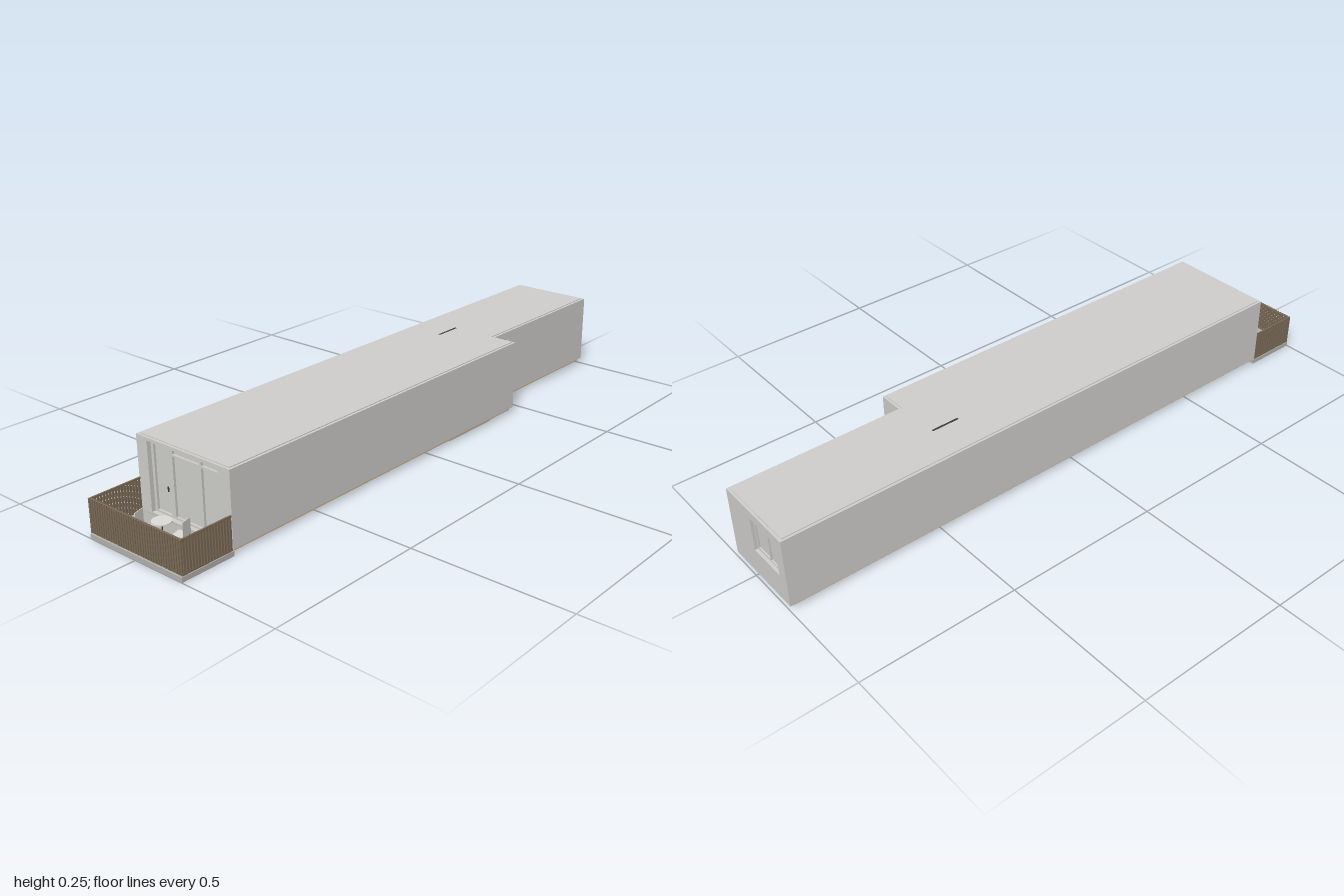
import * as THREE from 'three';

const mat = (name, color) => {
  const m = new THREE.MeshStandardMaterial({ color });
  m.name = name;
  return m;
};

export function createModel() {
  const wall = mat('wall grey', 0xd0cfcc);
  const deckGrey = mat('deck grey', 0xb4b3ae);
  const timber = mat('pale timber', 0xd2b68e);
  const slatBrown = mat('slat brown', 0x7c6c58);
  const dark = mat('dark metal', 0x3c3b39);
  const white = mat('furniture white', 0xdcdbd8);
  const leafMat = mat('plant brown', 0x544638);
  leafMat.side = THREE.DoubleSide;

  const model = new THREE.Group();
  const add = (name, geo, material, parent = model) => {
    const m = new THREE.Mesh(geo, material);
    m.name = name;
    parent.add(m);
    return m;
  };
  // Box given by its minimum and maximum on each axis
  const box = (name, [x0, x1], [y0, y1], [z0, z1], material, parent) => {
    const g = new THREE.BoxGeometry(x1 - x0, y1 - y0, z1 - z0);
    g.translate((x0 + x1) / 2, (y0 + y1) / 2, (z0 + z1) / 2);
    return add(name, g, material, parent);
  };
  const rect = (C, [u0, u1, v0, v1]) => {
    const s = new C();
    s.moveTo(u0, v0); s.lineTo(u1, v0); s.lineTo(u1, v1); s.lineTo(u0, v1);
    s.closePath();
    return s;
  };
  // Upright panel with rectangular openings, extruded along z
  const panel = (outer, holes, depth) => {
    const s = rect(THREE.Shape, outer);
    holes.forEach(h => s.holes.push(rect(THREE.Path, h)));
    return new THREE.ExtrudeGeometry(s, { depth, bevelEnabled: false });
  };
  const L = -0.182, R = 0.178, N = 0.097, STEP = -0.44;
  const BOTTOM = 0.02, TOP = 0.245;

  // L-shaped plan extruded upward
  const plan = (l, r, n, front, back, step, y0, y1) => {
    const pts = [[l, front], [r, front], [r, step], [n, step], [n, back], [l, back]];
    const s = new THREE.Shape(pts.map(([x, z]) => new THREE.Vector2(x, -z)));
    const g = new THREE.ExtrudeGeometry(s, { depth: y1 - y0, bevelEnabled: false });
    return g.rotateX(-Math.PI / 2).translate(0, y0, 0);
  };
  add('houseBody', plan(L, R, N - 0.015, 0.805, -0.985, STEP, BOTTOM, TOP), wall);
  add('roofSheet', plan(L + 0.008, R - 0.008, N - 0.008, 0.817, -0.992, STEP + 0.008, TOP, 0.2475), wall);
  add('floorSlab', plan(L + 0.008, R - 0.008, N - 0.008, 0.815, -0.99, STEP + 0.008, 0.01, BOTTOM), timber);

  // Front wall with a large recessed window and door
  const opening = [-0.14, 0.135, 0.024, 0.236];
  add('frontWall', panel([L, R, BOTTOM, TOP], [opening], 0.02), wall).position.z = 0.805;
  const panes = [
    [-0.13, -0.07, 0.03, 0.226],
    [-0.055, 0.049, 0.03, 0.209], [0.057, 0.129, 0.03, 0.209],
    [-0.055, 0.049, 0.215, 0.232], [0.057, 0.129, 0.215, 0.232],
  ];
  add('frontWindowFrame', panel(opening, panes, 0.007), wall).position.z = 0.805;
  box('frontDoorHandle', [-0.079, -0.076], [0.1, 0.115], [0.812, 0.815], dark);

  // Back wall with a two-pane window
  const backHole = [-0.147, -0.02, 0.107, 0.218];
  add('backWall', panel([L, N, BOTTOM, TOP], [backHole], 0.015), wall).position.z = -1;
  add('backWindowFrame', panel(backHole,
    [[-0.141, -0.09, 0.113, 0.212], [-0.084, -0.026, 0.113, 0.212]], 0.005), wall).position.z = -0.99;

  // Entrance wall beside the step, with its recessed door
  const sideWall = panel([-STEP, 0.985, BOTTOM, TOP], [[0.452, 0.522, 0.0201, 0.218]], 0.015);
  add('entranceWall', sideWall.rotateY(Math.PI / 2), wall).position.x = N - 0.015;
  box('entranceDoor', [0.08, 0.086], [0.015, 0.215], [-0.52, -0.455], timber);
  box('entranceDoorHandle', [0.086, 0.091], [0.108, 0.112], [-0.473, -0.462], dark);
  box('doorThreshold', [0.082, N - 0.002], [0.014, 0.0215], [-0.522, -0.452], timber);

  // Plate under the floor and a narrow slot through roof and floor
  box('underfloorPlate', [-0.065, 0.169], [0.006, 0.011], [-0.325, -0.105], deckGrey);
  box('roofSlot', [-0.058, -0.052], [0.244, 0.2485], [-0.43, -0.34], dark);
  box('floorSlot', [-0.058, -0.052], [0.008, 0.012], [-0.43, -0.34], timber);

  // Balcony deck
  box('balconyDeck', [L, R], [0, 0.015], [0.822, 1], deckGrey);

  // Slatted railings on three sides
  const railing = new THREE.Group();
  railing.name = 'railing';
  model.add(railing);
  for (const [y0, y1] of [[0.017, 0.021], [0.113, 0.118]]) {
    box('frontRail', [L, R], [y0, y1], [0.989, 0.994], slatBrown, railing);
    for (const x of [L, R - 0.005])
      box('sideRail', [x, x + 0.005], [y0, y1], [0.826, 0.989], slatBrown, railing);
  }
  for (let i = 0; i < 37; i++) {
    const x = L + i * (R - L - 0.0065) / 36;
    box('frontSlat', [x, x + 0.0065], [0.017, 0.118], [0.993, 0.997], slatBrown, railing);
  }
  for (let i = 0; i < 17; i++) {
    const z = 0.827 + i * 0.0098;
    for (const x of [L, R - 0.004])
      box('sideSlat', [x, x + 0.004], [0.017, 0.118], [z, z + 0.0065], slatBrown, railing);
  }

  // Round table
  const table = new THREE.Group();
  table.name = 'table';
  table.position.set(0.011, 0.015, 0.915);
  model.add(table);
  add('tableTop', new THREE.CylinderGeometry(0.028, 0.028, 0.003, 32), white, table).position.y = 0.068;
  add('tableStem', new THREE.CylinderGeometry(0.002, 0.002, 0.066, 12), dark, table).position.y = 0.033;
  add('tableFoot', new THREE.CylinderGeometry(0.015, 0.016, 0.002, 24), dark, table).position.y = 0.001;

  // Two chairs facing the table
  for (const [x, z, turn] of [[-0.038, 0.93, 0.27], [0.062, 0.897, 0.27 + Math.PI]]) {
    const chair = new THREE.Group();
    chair.name = 'chair';
    chair.position.set(x, 0.015, z);
    chair.rotation.y = turn;
    model.add(chair);
    box('seat', [-0.018, 0.018], [0.038, 0.041], [-0.018, 0.018], white, chair);
    box('backrest', [-0.019, -0.017], [0.041, 0.084], [-0.018, 0.018], white, chair);
    for (const lx of [-0.016, 0.016]) for (const lz of [-0.016, 0.016])
      box('chairLeg', [lx - 0.001, lx + 0.001], [0, 0.038], [lz - 0.001, lz + 0.001], dark, chair);
  }

  // Potted plants in the front corners
  for (const x of [-0.162, 0.154]) {
    const plant = new THREE.Group();
    plant.name = 'pottedPlant';
    plant.position.set(x, 0.015, 0.965);
    model.add(plant);
    add('pot', new THREE.CylinderGeometry(0.01, 0.007, 0.02, 16), deckGrey, plant).position.y = 0.01;
    for (let i = 0; i < 14; i++) {
      const reach = 0.012 + 0.004 * (i % 4);
      const leaf = new THREE.PlaneGeometry(reach, 0.006, 2, 1);
      const p = leaf.attributes.position;
      for (let k = 0; k < p.count; k++) {
        const t = p.getX(k) / reach + 0.5;
        p.setXYZ(k, t * reach, 0.02 + 0.02 * t + 0.004 * (i % 3), p.getY(k) * (t === 0.5 ? 1 : 0.3));
      }
      leaf.computeVertexNormals();
      add('leaf', leaf, leafMat, plant).rotation.y = i * 2.4;
    }
  }
  return model;
}
